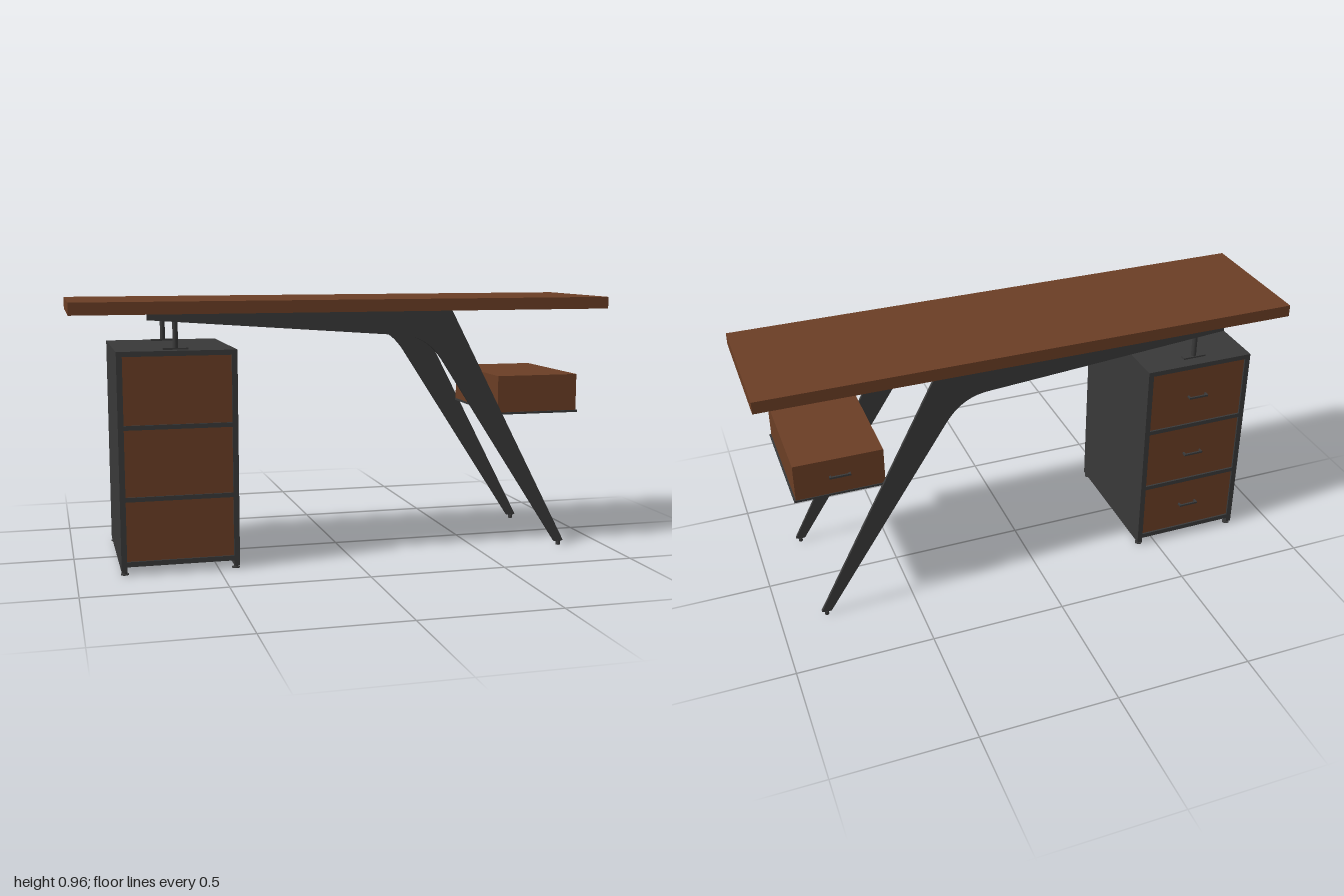
import * as THREE from 'three';

export function createModel() {
  const model = new THREE.Group();
  model.name = 'desk';
  const wood = new THREE.MeshStandardMaterial({ color: 0x6b3e25 });
  wood.name = 'walnut brown';
  const metal = new THREE.MeshStandardMaterial({ color: 0x393939 });
  metal.name = 'dark steel';

  function add(name, geometry, material, parent = model) {
    const mesh = new THREE.Mesh(geometry, material);
    mesh.name = name;
    parent.add(mesh);
    return mesh;
  }
  // Box given by its minimum and maximum on each axis
  function box(name, material, [x0, x1], [y0, y1], [z0, z1], parent) {
    const mesh = add(name, new THREE.BoxGeometry(x1 - x0, y1 - y0, z1 - z0), material, parent);
    mesh.position.set((x0 + x1) / 2, (y0 + y1) / 2, (z0 + z1) / 2);
    return mesh;
  }
  // Upright cylinder standing between two heights
  function post(name, x, z, y0, y1, radius, parent) {
    const mesh = add(name, new THREE.CylinderGeometry(radius, radius, y1 - y0, 20), metal, parent);
    mesh.position.set(x, (y0 + y1) / 2, z);
  }
  // Bar pull on the back: a grip with two standoffs
  function handle(x, y, zFace, reach, parent) {
    const pull = new THREE.Group();
    pull.name = 'handle';
    const tip = zFace - reach;
    box('grip', metal, [x - 0.038, x + 0.038], [y - 0.0035, y + 0.0035], [tip, tip + 0.007], pull);
    for (const s of [-1, 1]) {
      const sx = x + s * 0.0345;
      box('standoff', metal, [sx - 0.0035, sx + 0.0035], [y - 0.0035, y + 0.0035], [tip + 0.007, zFace], pull);
    }
    parent.add(pull);
  }

  // Worktop
  box('worktop', wood, [-1, 1], [0.913, 0.957], [-0.25, 0.264]);

  // Swept leg plates, one at each long side
  const profile = new THREE.Shape();
  profile.moveTo(-0.735, 0.913);
  profile.lineTo(-0.735, 0.893);
  profile.lineTo(0.19, 0.825);
  profile.bezierCurveTo(0.27, 0.818, 0.315, 0.775, 0.35, 0.72);
  profile.lineTo(0.812, 0.015);
  profile.lineTo(0.832, 0.012);
  profile.lineTo(0.848, 0.018);
  profile.lineTo(0.38, 0.913);
  const legGeometry = new THREE.ExtrudeGeometry(profile, { depth: 0.011, bevelEnabled: false, curveSegments: 12 });
  for (const z of [-0.23, 0.242]) {
    const leg = add('sweptLeg', legGeometry, metal);
    leg.position.z = z - 0.0055;
    post('legFoot', 0.83, z, 0, 0.016, 0.008);
  }

  // Hanging drawer on its tray
  const hanging = new THREE.Group();
  hanging.name = 'hangingDrawer';
  model.add(hanging);
  box('drawerBox', wood, [0.572, 0.892], [0.525, 0.663], [-0.222, 0.233], hanging);
  box('tray', metal, [0.57, 0.898], [0.517, 0.525], [-0.225, 0.237], hanging);
  handle(0.732, 0.595, -0.222, 0.013, hanging);

  // Cabinet shell
  const cabinet = new THREE.Group();
  cabinet.name = 'cabinet';
  model.add(cabinet);
  const left = -0.845, right = -0.425, back = -0.262, front = 0.273;
  box('sidePanel', metal, [left, left + 0.02], [0.012, 0.788], [back, front], cabinet);
  box('sidePanel', metal, [right - 0.02, right], [0.012, 0.788], [back, front], cabinet);
  const inner = [left + 0.02, right - 0.02];
  box('cabinetTop', metal, inner, [0.77, 0.788], [back, front], cabinet);
  box('cabinetBottom', metal, inner, [0.03, 0.048], [back, front], cabinet);
  for (const y of [0.27, 0.523]) box('shelfRail', metal, inner, [y - 0.008, y + 0.008], [back, front], cabinet);

  // Three drawers, slightly recessed, with pulls at the back
  const drawers = [[0.048, 0.262, 0.155], [0.278, 0.515, 0.396], [0.531, 0.77, 0.65]];
  for (const [y0, y1, pullY] of drawers) {
    box('drawer', wood, inner, [y0, y1], [back + 0.007, front - 0.007], cabinet);
    handle(-0.635, pullY, back + 0.007, 0.019, cabinet);
  }

  // Cabinet feet
  for (const x of [left + 0.012, right - 0.012]) {
    for (const z of [back + 0.016, front - 0.016]) {
      post('footStem', x, z, 0.004, 0.03, 0.008, cabinet);
      post('footPad', x, z, 0, 0.004, 0.014, cabinet);
    }
  }

  // Posts carrying the worktop above the cabinet
  for (const z of [-0.204, 0.216]) {
    post('supportPost', -0.635, z, 0.788, 0.913, 0.0095);
    box('postFlange', metal, [-0.68, -0.59], [0.788, 0.794], [z - 0.012, z + 0.012]);
  }
  return model;
}
